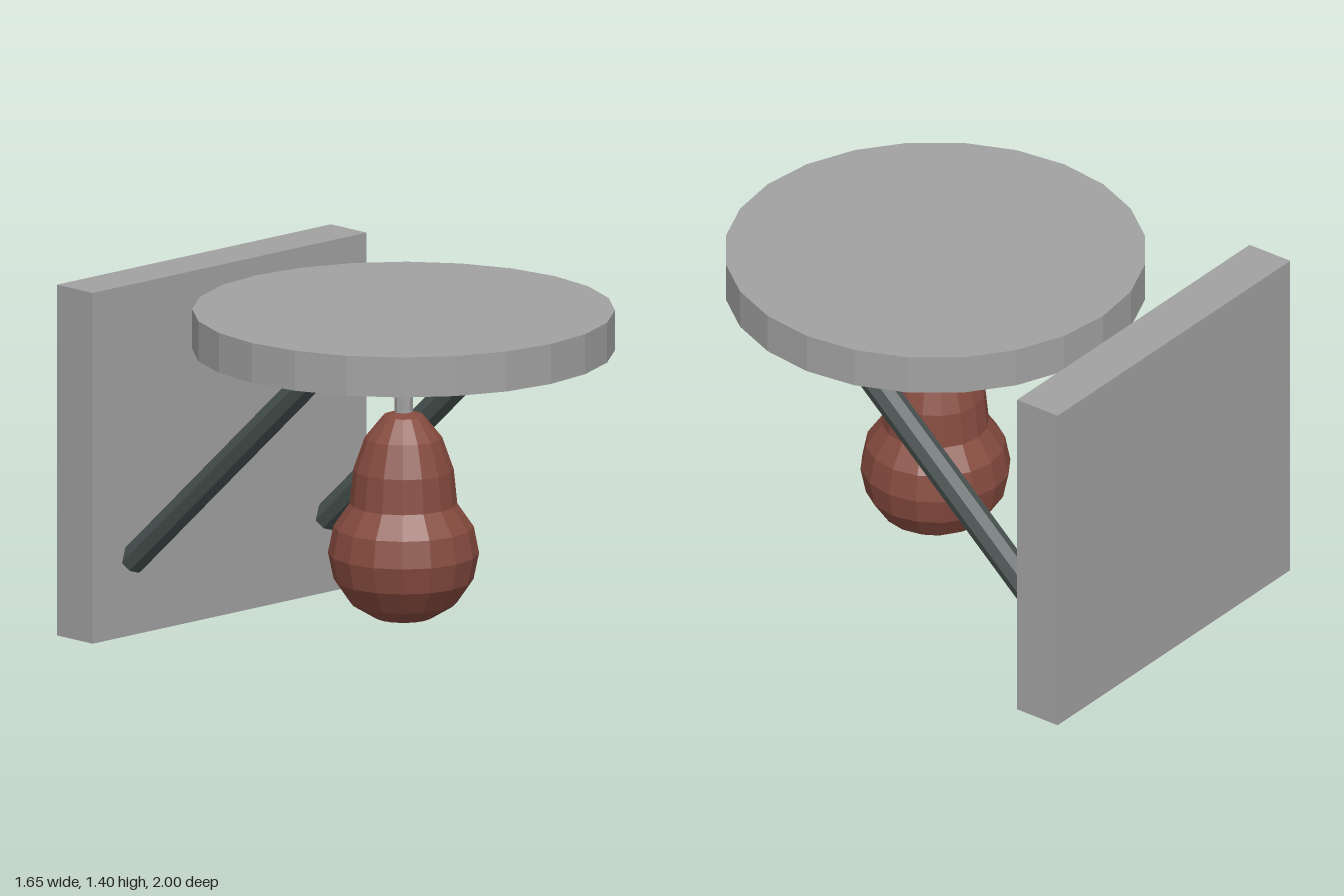
import * as THREE from 'three';

const material = (name, color) => {
  const m = new THREE.MeshStandardMaterial({ color, flatShading: true });
  m.name = name;
  return m;
};

export function createModel() {
  const model = new THREE.Group();
  model.name = 'wallSpeedBag';
  const grey = material('grey', 0xa1a1a1);
  const darkSteel = material('dark steel', 0x4a5553);
  const leather = material('brown leather', 0x864b3f);

  const add = (name, geometry, mat, x, y, z) => {
    const mesh = new THREE.Mesh(geometry, mat);
    mesh.name = name;
    mesh.position.set(x, y, z);
    model.add(mesh);
    return mesh;
  };
  const bagZ = 0.173;

  // Upright wall panel at the back
  add('wallPanel', new THREE.BoxGeometry(1.49, 1.405, 0.2), grey, 0, 0.7025, -0.9);

  // Round rebound board
  add('reboundBoard', new THREE.CylinderGeometry(0.825, 0.825, 0.16, 24), grey, 0, 1.3, bagZ);

  // Hanging rod between board and bag
  add('hangingRod', new THREE.CylinderGeometry(0.036, 0.036, 0.27, 8), grey, 0, 1.095, bagZ);

  // Diagonal struts from the panel up to the board
  for (const side of [-1, 1]) {
    const strut = add(side > 0 ? 'leftStrut' : 'rightStrut',
      new THREE.CylinderGeometry(0.058, 0.058, 1.356, 8), darkSteel, side * 0.527, 0.75, -0.299);
    strut.rotation.x = 0.84;
  }

  // Pear-shaped bag, radius and height from bottom to top
  const profile = [
    [0, 0.13], [0.113, 0.151], [0.21, 0.21], [0.273, 0.302], [0.295, 0.407], [0.274, 0.513],
    [0.21, 0.605], [0.196, 0.742], [0.151, 0.87], [0.08, 0.957], [0.036, 0.972], [0, 0.973],
  ].map(([r, y]) => new THREE.Vector2(r, y));
  add('bag', new THREE.LatheGeometry(profile, 16), leather, 0, 0, bagZ);

  return model;
}
